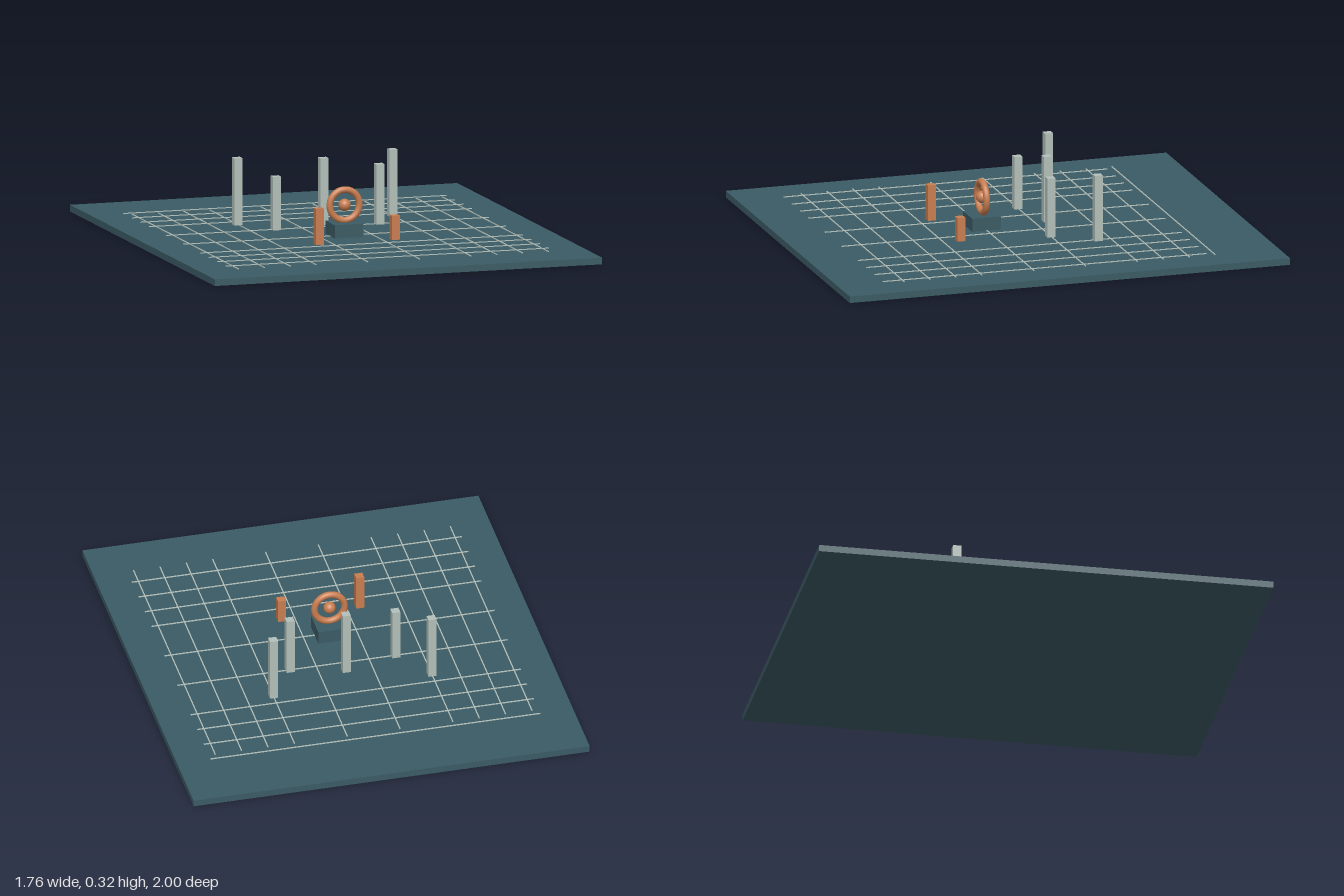
import * as THREE from 'three';

export function createModel() {
  const model = new THREE.Group();
  const slate = new THREE.MeshStandardMaterial({ name: 'slate', color: 0x3b5b64 });
  const paleGrey = new THREE.MeshStandardMaterial({ name: 'paleGrey', color: 0xb3c0ba });
  const copper = new THREE.MeshStandardMaterial({ name: 'copper', color: 0xc87d50 });

  const add = (name, geometry, material, x, y, z) => {
    const mesh = new THREE.Mesh(geometry, material);
    mesh.name = name;
    mesh.position.set(x, y, z);
    model.add(mesh);
    return mesh;
  };
  // Box standing on height y0
  const block = (name, material, w, h, d, x, y0, z) =>
    add(name, new THREE.BoxGeometry(w, h, d), material, x, y0 + h / 2, z);

  const unit = 2 / 17;
  const floor = 0.0294;

  // Ground slab
  block('baseSlab', slate, 15 * unit, floor, 2, 0, 0, 0);

  // Thin raised grid lines, with the middle rows left open
  for (const step of [1, 3, 4, 5, 6]) {
    for (const side of [-1, 1]) {
      const p = side * step * unit;
      block('gridLineAcross', paleGrey, 12.5 * unit, 0.0035, 0.005, 0, floor, p);
      block('gridLineAlong', paleGrey, 0.005, 0.0035, 12.5 * unit, p, floor, unit / 2);
    }
  }

  // Grey pillars at the back: x, z, height
  const pillars = [
    [-3, -2.5, 2.5], [3, -2.5, 2.5], [0, -1.5, 2.5], [-2, -1, 2], [2, -1, 2.25],
  ];
  for (const [x, z, h] of pillars) {
    block('pillar', paleGrey, 0.036, h * unit, 0.036, x * unit, floor, z * unit);
  }

  // Copper posts at the front
  block('tallPost', copper, 0.036, 0.159, 0.036, -1.5 * unit, floor, 2.5 * unit);
  block('shortPost', copper, 0.036, 0.106, 0.036, 1.5 * unit, floor, 2.33 * unit);

  // Pedestal carrying a ring with a ball at its centre
  block('pedestal', slate, 0.131, 0.059, 0.131, 0, floor, unit);
  add('ring', new THREE.TorusGeometry(0.067, 0.0147, 16, 48), copper, 0, 0.164, unit);
  add('ringBall', new THREE.SphereGeometry(0.027, 24, 16), copper, 0, 0.164, unit);

  return model;
}
